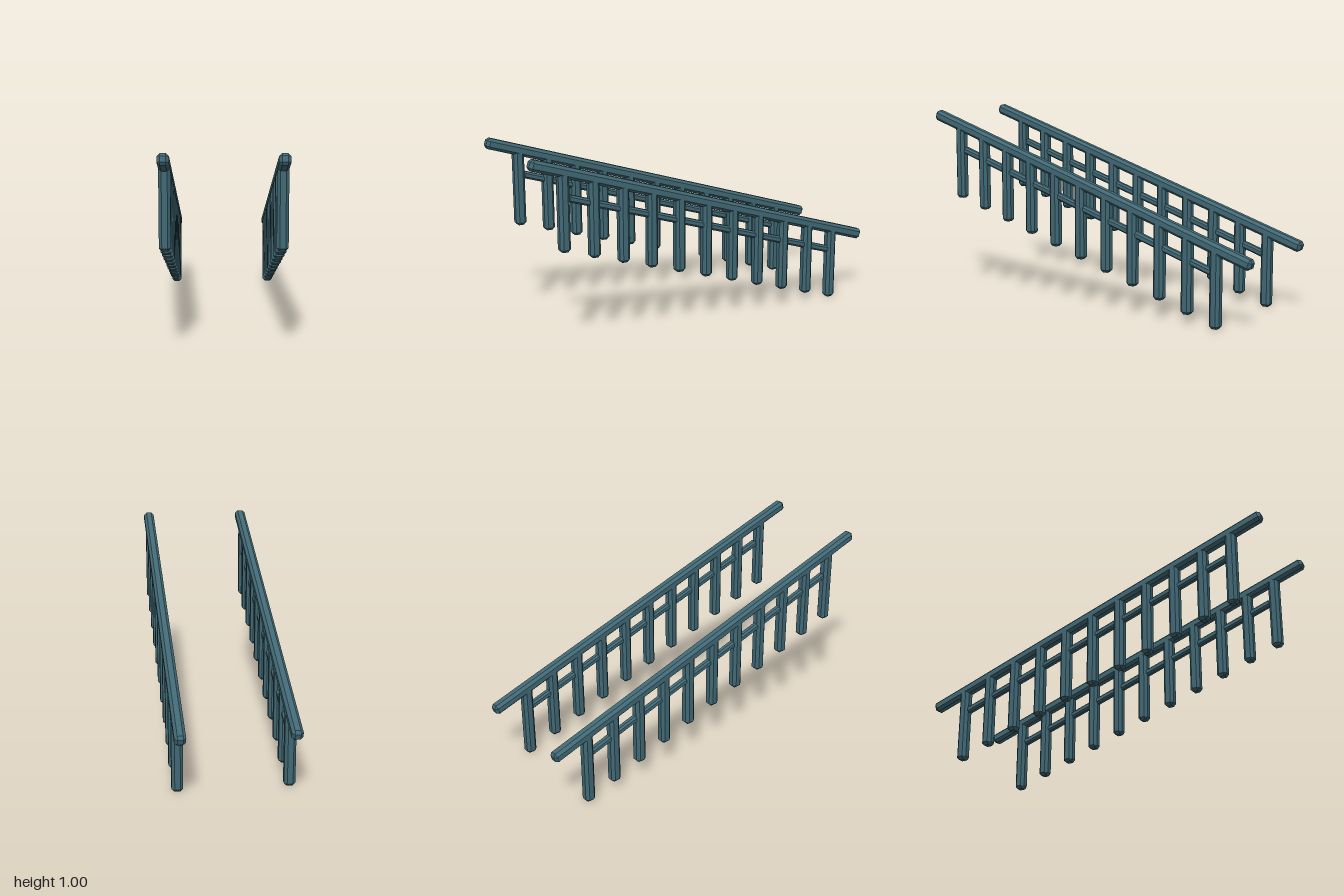
import * as THREE from 'three';
import { ConvexGeometry } from 'three/addons/geometries/ConvexGeometry.js';

// Square bar along y with every edge chamfered
function chamferedBar(half, length, chamfer) {
  const flat = half - chamfer, end = length / 2;
  const points = [];
  for (const sx of [-1, 1]) for (const sy of [-1, 1]) for (const sz of [-1, 1]) {
    points.push(
      new THREE.Vector3(sx * flat, sy * end, sz * flat),
      new THREE.Vector3(sx * half, sy * (end - chamfer), sz * flat),
      new THREE.Vector3(sx * flat, sy * (end - chamfer), sz * half)
    );
  }
  return new ConvexGeometry(points);
}

export function createModel() {
  const model = new THREE.Group();
  model.name = 'stairRailings';
  const material = new THREE.MeshStandardMaterial({ color: 0x416975, flatShading: true });

  const slope = 0.321;
  const tilt = Math.PI / 2 - Math.atan(slope);
  const postCount = 11, postLength = 0.405;

  const handrailGeometry = chamferedBar(0.0285, 2.092, 0.0145);
  const lowerRailGeometry = chamferedBar(0.0185, 1.66, 0.0095);
  const postGeometry = chamferedBar(0.0285, postLength, 0.0145);

  for (const side of [-1, 1]) {
    const railing = new THREE.Group();
    railing.name = side > 0 ? 'leftRailing' : 'rightRailing';
    railing.position.x = side * 0.278;

    const add = (name, geometry, y, z, angle = 0) => {
      const mesh = new THREE.Mesh(geometry, material);
      mesh.name = name;
      mesh.position.set(0, y, z);
      mesh.rotation.x = angle;
      railing.add(mesh);
    };

    // Sloping rails, rising toward the front
    add('handrail', handrailGeometry, 0.658, 0, tilt);
    add('lowerRail', lowerRailGeometry, 0.535, 0.01, tilt);

    // Upright posts stepping up with the slope
    for (let i = 0; i < postCount; i++) {
      add('post', postGeometry, postLength / 2 + i * 0.0518, -0.797 + i * 0.162);
    }
    model.add(railing);
  }
  return model;
}
